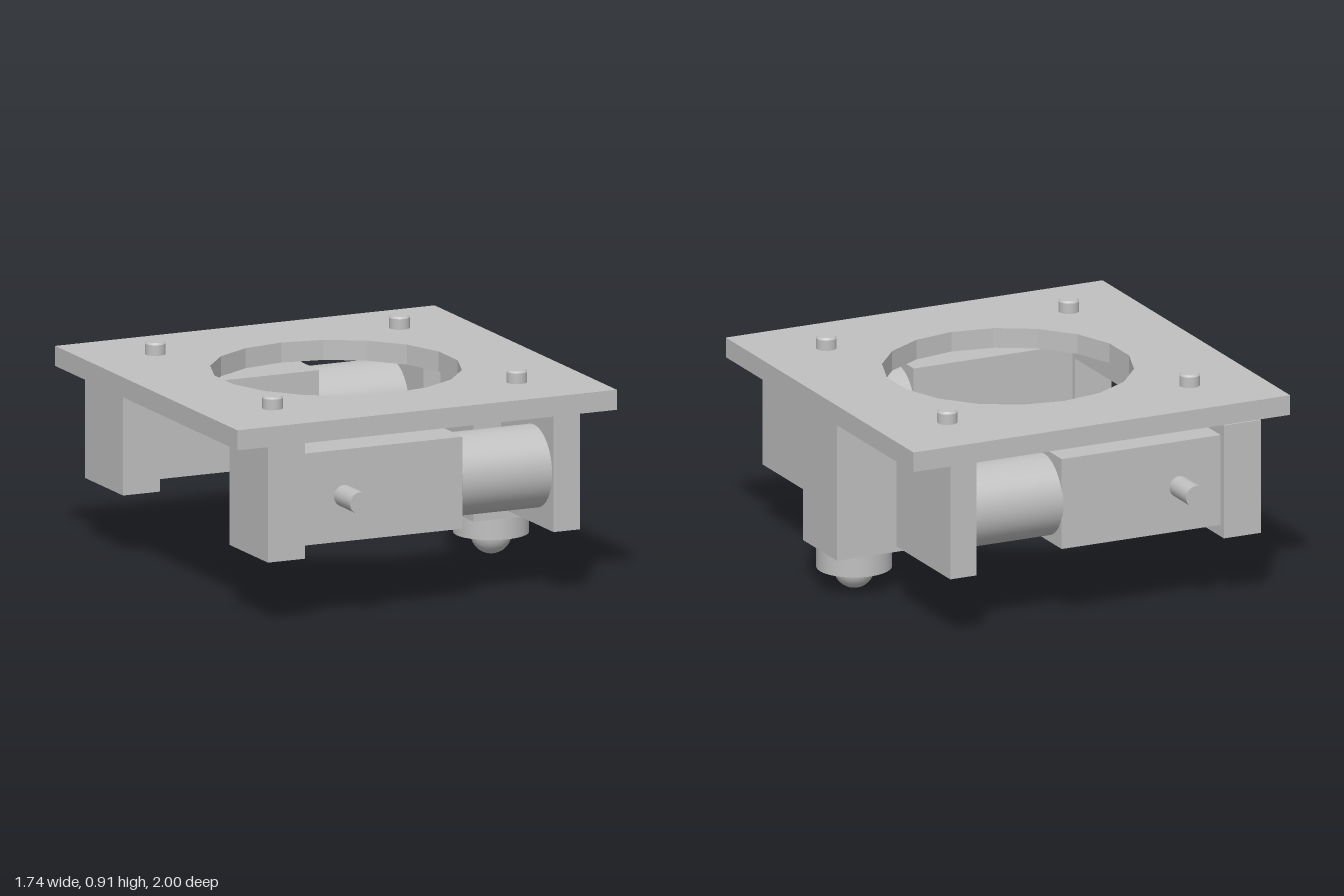
import * as THREE from 'three';

export function createModel() {
  const root = new THREE.Group();
  root.name = 'robotChassis';
  const grey = new THREE.MeshStandardMaterial({ color: 0xc0c0c0 });
  grey.name = 'plain grey';

  const add = (name, geometry) => {
    const mesh = new THREE.Mesh(geometry, grey);
    mesh.name = name;
    root.add(mesh);
    return mesh;
  };
  // Box from its limits on each axis
  const box = (name, x0, x1, y0, y1, z0, z1) =>
    add(name, new THREE.BoxGeometry(x1 - x0, y1 - y0, z1 - z0))
      .position.set((x0 + x1) / 2, (y0 + y1) / 2, (z0 + z1) / 2);

  // Top plate with an 18-sided opening
  const plate = new THREE.Shape();
  plate.moveTo(-0.87, -0.87).lineTo(0.87, -0.87).lineTo(0.87, 0.87).lineTo(-0.87, 0.87).closePath();
  const hole = [];
  for (let i = 0; i < 18; i++) {
    const a = (i / 18) * Math.PI * 2;
    hole.push(new THREE.Vector2(Math.sin(a) * 0.522, Math.cos(a) * 0.522));
  }
  plate.holes.push(new THREE.Path(hole));
  const plateGeometry = new THREE.ExtrudeGeometry(plate, { depth: 0.085, bevelEnabled: false });
  plateGeometry.rotateX(-Math.PI / 2);
  add('topPlate', plateGeometry).position.y = 0.77;

  // Screw heads with a small chamfer
  const screw = new THREE.LatheGeometry([
    [0.043, 0], [0.043, 0.045], [0.043, 0.045], [0.035, 0.053], [0.035, 0.053], [0, 0.053],
  ].map(([x, y]) => new THREE.Vector2(x, y)), 24);
  for (const x of [-0.56, 0.56]) {
    for (const z of [-0.56, 0.56]) add('screw', screw).position.set(x, 0.855, z);
  }

  // Motor units, mirrored front and back
  for (const s of [1, -1]) {
    const side = s > 0 ? 'front' : 'back';
    const mirrored = (name, x0, x1, y0, y1, z0, z1) =>
      box(side + name, x0, x1, y0, y1, s > 0 ? z0 : -z1, s > 0 ? z1 : -z0);
    const outer = s > 0 ? 0.87 : 0.878;
    mirrored('GearEndBracket', -0.73, -0.56, 0.28, 0.77, outer - 0.365, outer);
    mirrored('MotorEndBracket', 0.58, 0.70, 0.28, 0.77, 0.37, 0.87);
    mirrored('Gearbox', -0.56, 0.174, 0.33, 0.72, 0.525, 0.847);

    const motor = add(side + 'Motor', new THREE.CylinderGeometry(0.174, 0.174, 0.41, 48));
    motor.rotation.z = Math.PI / 2;
    motor.position.set(0.375, 0.524, s * 0.682);

    const shaft = add(side + 'Shaft', new THREE.CylinderGeometry(0.046, 0.046, 0.17, 24));
    shaft.rotation.x = Math.PI / 2;
    shaft.position.set(-0.37, 0.524, s * 0.915);
  }

  // Cross beam between the gear-end brackets
  box('crossBeam', -0.62, -0.56, 0.665, 0.77, -0.52, 0.52);

  // Caster post, cup and ball
  box('casterPost', 0.555, 0.868, 0.18, 0.77, -0.157, 0.157);
  add('casterCup', new THREE.CylinderGeometry(0.157, 0.157, 0.092, 48)).position.set(0.711, 0.136, 0);
  add('casterBall', new THREE.SphereGeometry(0.086, 32, 20)).position.set(0.711, 0.086, 0);

  return root;
}
